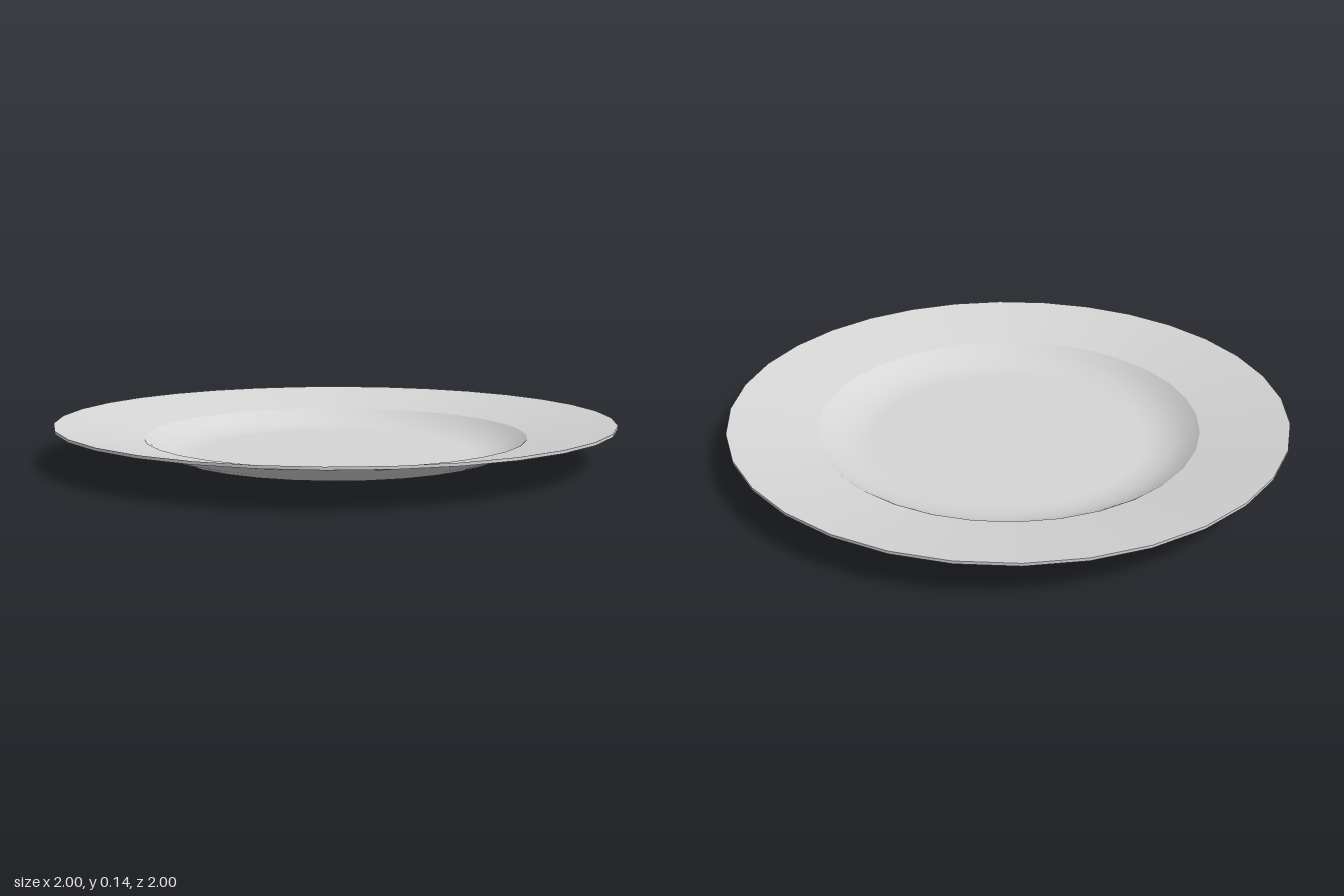
import * as THREE from 'three';

const SEGMENTS = 32;
const THICKNESS = 0.01;

export function createModel() {
  const plate = new THREE.Group();
  plate.name = 'plate';

  const glaze = new THREE.MeshStandardMaterial({ color: 0xd6d6d6 });
  glaze.name = 'pale grey glaze';

  // Each section is its own lathe, so the edges between sections stay crisp
  const addSection = (name, points) => {
    const profile = points.map(([r, y]) => new THREE.Vector2(r, y));
    const mesh = new THREE.Mesh(new THREE.LatheGeometry(profile, SEGMENTS), glaze);
    mesh.name = name;
    plate.add(mesh);
  };

  // Flat centre curving up to the rim
  const well = [[0, 0], [0.5, 0], [0.55, 0.004], [0.6, 0.015], [0.65, 0.036], [0.7, 0.065]];
  const rim = [[0.7, 0.065], [1, 0.125]];

  // Upper surface: same profile raised, running inwards so it faces up
  const raise = (points) =>
    points.map(([r, y]) => [r === 0.7 ? 0.692 : r, y + THICKNESS]).reverse();

  addSection('wellUnderside', well);
  addSection('rimUnderside', rim);
  addSection('lip', [[1, 0.125], [1, 0.125 + THICKNESS]]);
  addSection('rimTop', raise(rim));
  addSection('wellTop', raise(well));

  return plate;
}
